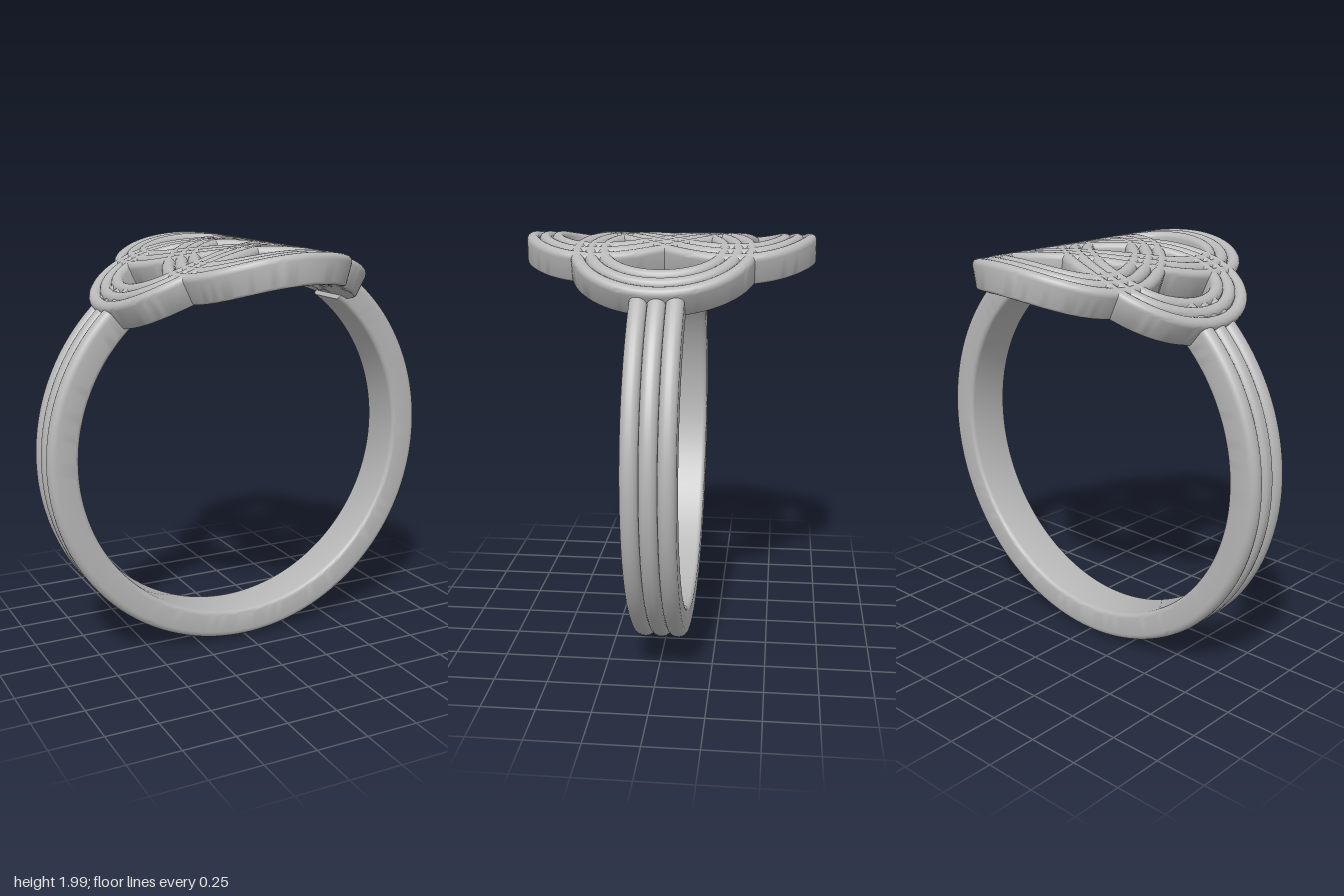
import * as THREE from 'three';
import { toCreasedNormals } from 'three/addons/utils/BufferGeometryUtils.js';

const metal = new THREE.MeshStandardMaterial({ color: 0xb8b8b8 });
metal.name = 'silver';

// Cross-section: flat base with rounded corners, three ridges on top.
// Points [u, h] run counter-clockwise; h goes from 0 to height.
function ridgedProfile(width, height, ridgeHeight, corner) {
  const pts = [];
  const half = width / 2, r = width / 6, steps = 9;
  for (const side of [-1, 1]) {
    for (let k = 0; k <= 4; k++) {
      const a = (side < 0 ? Math.PI : 1.5 * Math.PI) + (k / 4) * Math.PI / 2;
      pts.push([side * (half - corner) + corner * Math.cos(a), corner + corner * Math.sin(a)]);
    }
  }
  for (let ridge = 1; ridge >= -1; ridge--) {
    for (let k = ridge === 1 ? 0 : 1; k <= steps; k++) {
      const a = (k / steps) * Math.PI;
      pts.push([ridge * 2 * r + r * Math.cos(a), height - ridgeHeight + ridgeHeight * Math.sin(a)]);
    }
  }
  return pts;
}

// Sweep a profile: place(t, u, h) gives the position, t runs from 0 to 1.
function sweep(profile, segments, place, capped) {
  const pos = [], index = [], n = profile.length;
  for (let i = 0; i <= segments; i++) {
    for (const [u, h] of profile) pos.push(...place(i / segments, u, h));
  }
  for (let i = 0; i < segments; i++) {
    for (let j = 0; j < n; j++) {
      const a = i * n + j, b = i * n + (j + 1) % n;
      index.push(a, b, a + n, b, b + n, a + n);
    }
  }
  if (capped) {
    const mid = profile.reduce((m, p) => Math.max(m, p[1]), 0) / 2;
    const c = pos.length / 3, last = segments * n;
    pos.push(...place(0, 0, mid), ...place(1, 0, mid));
    for (let j = 0; j < n; j++) {
      const k = (j + 1) % n;
      index.push(c, k, j, c + 1, last + j, last + k);
    }
  }
  const geo = new THREE.BufferGeometry();
  geo.setAttribute('position', new THREE.Float32BufferAttribute(pos, 3));
  geo.setIndex(index);
  return toCreasedNormals(geo, 0.75);
}

// Open hoop, its two ends tucked under the knot
function makeBand() {
  const inner = 0.857, gap = 0.63;
  const place = (t, u, h) => {
    const a = 2 * Math.PI - gap - t * (2 * Math.PI - 2 * gap);
    return [Math.sin(a) * (inner + h), 1 + Math.cos(a) * (inner + h), u];
  };
  const mesh = new THREE.Mesh(sweep(ridgedProfile(0.24, 0.143, 0.035, 0.022), 140, place, true), metal);
  mesh.name = 'band';
  return mesh;
}

// One continuous four-lobed strand, bent over a cylinder along z
function makeKnot() {
  const modes = [[3, 0.4135], [-1, 0.2175], [-5, -0.031]];
  const radius = 1.08, thickness = 0.14, tilt = -0.058;
  const cx = 0.018, cy = 0.837;
  const place = (t, u, h) => {
    const a = t * 2 * Math.PI;
    let x = 0, z = 0, dx = 0, dz = 0;
    for (const [k, amp] of modes) {
      x += amp * Math.cos(k * a);
      z += amp * Math.sin(k * a);
      dx -= amp * k * Math.sin(k * a);
      dz += amp * k * Math.cos(k * a);
    }
    const len = Math.hypot(dx, dz);
    const s = x + (u * dz) / len;
    const w = z - (u * dx) / len;
    const r = radius - thickness / 2 + h;
    const bend = tilt + s / radius;
    return [cx + Math.sin(bend) * r, cy + Math.cos(bend) * r, w];
  };
  const mesh = new THREE.Mesh(sweep(ridgedProfile(0.18, thickness, 0.028, 0.015), 360, place, false), metal);
  mesh.name = 'knot';
  return mesh;
}

export function createModel() {
  const ring = new THREE.Group();
  ring.name = 'knotRing';
  ring.add(makeBand(), makeKnot());
  return ring;
}
